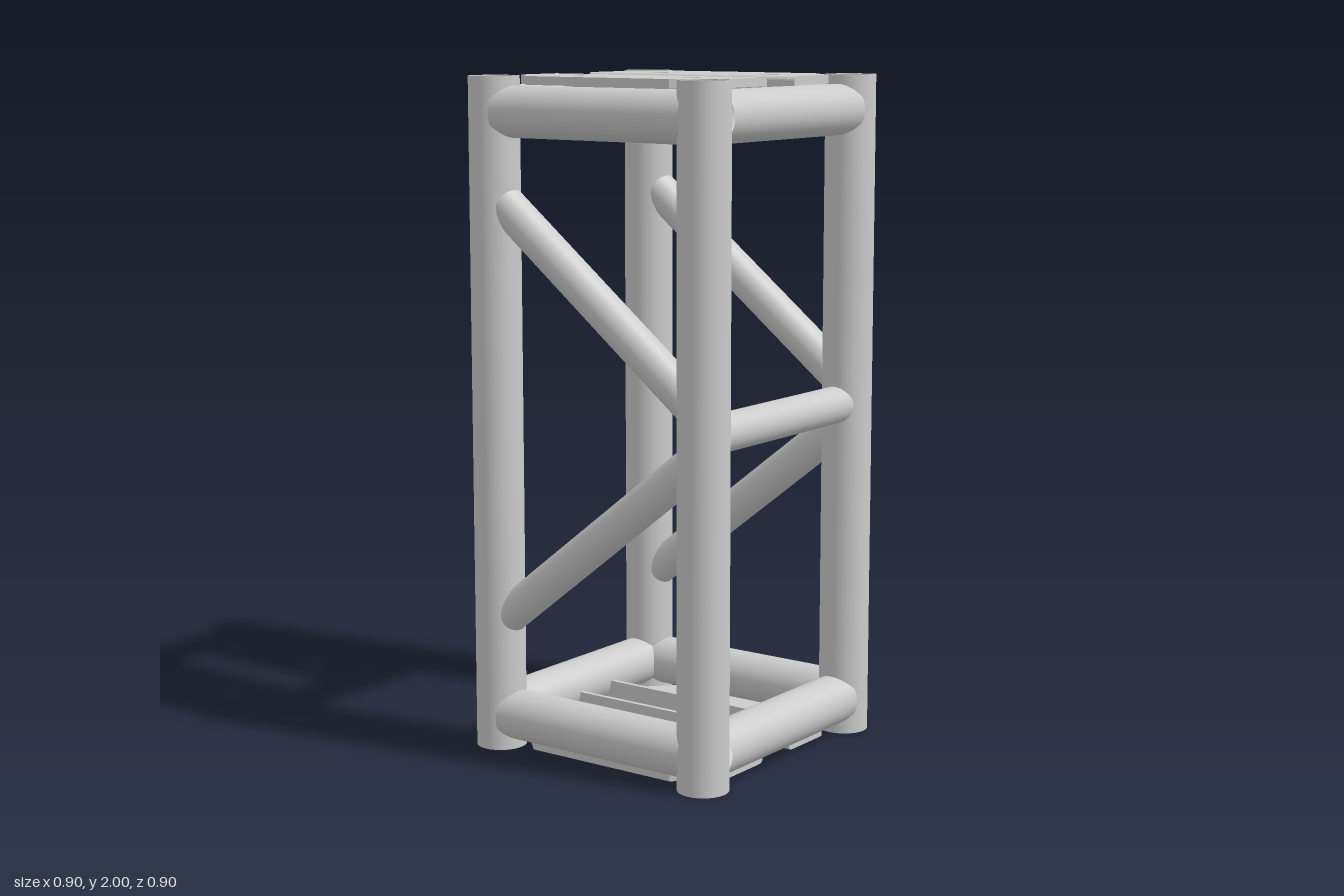
import * as THREE from 'three';

const HALF = 0.373;   // post centre offset
const R = 0.075;      // post and rail radius
const BRACE_R = 0.056;
const RAIL_Y = 0.102; // rail axis above the end of the section
const SEG = 48;

const material = new THREE.MeshStandardMaterial({ color: 0xcccccc, side: THREE.DoubleSide });

function add(parent, name, geometry) {
  const mesh = new THREE.Mesh(geometry, material);
  mesh.name = name;
  parent.add(mesh);
  return mesh;
}

// Hollow upright: closed wall profile, corners doubled to keep the rims sharp
function postGeometry() {
  const inner = 0.069;
  const v = (x, y) => new THREE.Vector2(x, y);
  const e = 1e-5;
  return new THREE.LatheGeometry([
    v(inner, 0), v(R - e, 0), v(R, 0), v(R, e), v(R, 2 - e), v(R, 2), v(R - e, 2),
    v(inner + e, 2), v(inner, 2), v(inner, 2 - e), v(inner, e), v(inner, 0),
  ], SEG);
}

// Tube along x between two posts, ends coped to the post surface
function strutGeometry(radius, slope = 0) {
  const g = new THREE.CylinderGeometry(radius, radius, 1, SEG, 1, true);
  const p = g.attributes.position, n = g.attributes.normal;
  const angle = Math.atan(slope), c = Math.cos(angle), s = Math.sin(angle);
  for (let i = 0; i < p.count; i++) {
    const u = -p.getX(i), w = p.getZ(i), nu = -n.getX(i);
    const reach = HALF - Math.sqrt(Math.max(0, 0.073 ** 2 - w * w));
    const x = Math.sign(p.getY(i)) * Math.min(0.335, reach);
    p.setXYZ(i, x, u / c + slope * x, w);
    n.setXYZ(i, -s * nu, c * nu, n.getZ(i));
  }
  return g;
}

// Bent end plate, top face at y = 0, lying on the +z half
function makePlate() {
  const plate = new THREE.Group();
  plate.name = 'endPlate';
  const bend = 0.015, inner = 0.07, thick = 0.025;

  // Panel with clipped outer corners and two bolt holes
  const panel = new THREE.Shape([
    [-HALF, inner + bend], [HALF, inner + bend], [HALF, 0.25],
    [0.252, 0.37], [-0.252, 0.37], [-HALF, 0.25],
  ].map(([x, z]) => new THREE.Vector2(x, z)));
  for (const x of [-0.198, 0.198]) {
    const hole = new THREE.Path();
    hole.absarc(x, 0.197, 0.03, 0, Math.PI * 2, true);
    panel.holes.push(hole);
  }
  const panelGeometry = new THREE.ExtrudeGeometry(panel, { depth: thick, bevelEnabled: false, curveSegments: 24 });
  add(plate, 'platePanel', panelGeometry.rotateX(Math.PI / 2));

  // Rounded fold along the inner edge
  const fold = new THREE.Shape();
  fold.moveTo(0, 0);
  fold.absarc(0, 0, bend, 0, Math.PI / 2, false);
  fold.lineTo(0, 0);
  const foldGeometry = new THREE.ExtrudeGeometry(fold, { depth: 2 * HALF, bevelEnabled: false, curveSegments: 8 });
  foldGeometry.translate(0, 0, -HALF).rotateY(Math.PI / 2);
  add(plate, 'plateFold', foldGeometry).position.set(0, -bend, inner + bend);

  // Downturned flange, notched around the rails
  const right = [[HALF, -bend], [HALF, -(RAIL_Y - R)]];
  for (let i = 1; i <= 8; i++) {
    const a = (i / 8) * Math.PI / 2;
    right.push([HALF - R * Math.sin(a), -RAIL_Y + R * Math.cos(a)]);
  }
  const left = right.map(([x, y]) => [-x, y]).reverse();
  const flange = new THREE.Shape([...right, ...left].map(([x, y]) => new THREE.Vector2(x, y)));
  const flangeGeometry = new THREE.ExtrudeGeometry(flange, { depth: bend, bevelEnabled: false });
  add(plate, 'plateFlange', flangeGeometry).position.z = inner;
  return plate;
}

export function createModel() {
  const model = new THREE.Group();
  model.name = 'trussSection';

  // Four uprights
  const post = postGeometry();
  for (const x of [-HALF, HALF]) {
    for (const z of [-HALF, HALF]) add(model, 'cornerPost', post).position.set(x, 0, z);
  }

  // Square frame of rails and a pair of plates at each end
  const rail = strutGeometry(R);
  for (const top of [true, false]) {
    const frame = new THREE.Group();
    frame.name = top ? 'topFrame' : 'bottomFrame';
    for (let i = 0; i < 4; i++) {
      const side = new THREE.Group();
      side.name = 'railSide';
      side.rotation.y = i * Math.PI / 2;
      add(side, 'rail', rail).position.set(0, -RAIL_Y, HALF);
      if (i % 2 === 0) side.add(makePlate());
      frame.add(side);
    }
    frame.position.y = top ? 2 : 0;
    if (!top) frame.rotation.x = Math.PI;
    model.add(frame);
  }

  // Diagonal braces on the front and back faces
  for (const z of [-HALF, HALF]) {
    add(model, 'upperBrace', strutGeometry(BRACE_R, -0.79)).position.set(0, 1.367, z);
    add(model, 'lowerBrace', strutGeometry(BRACE_R, 0.79)).position.set(0, 0.67, z);
  }

  // Single level brace on the left face
  const crossBrace = add(model, 'crossBrace', strutGeometry(BRACE_R));
  crossBrace.rotation.y = Math.PI / 2;
  crossBrace.position.set(HALF, 1.018, 0);

  return model;
}
